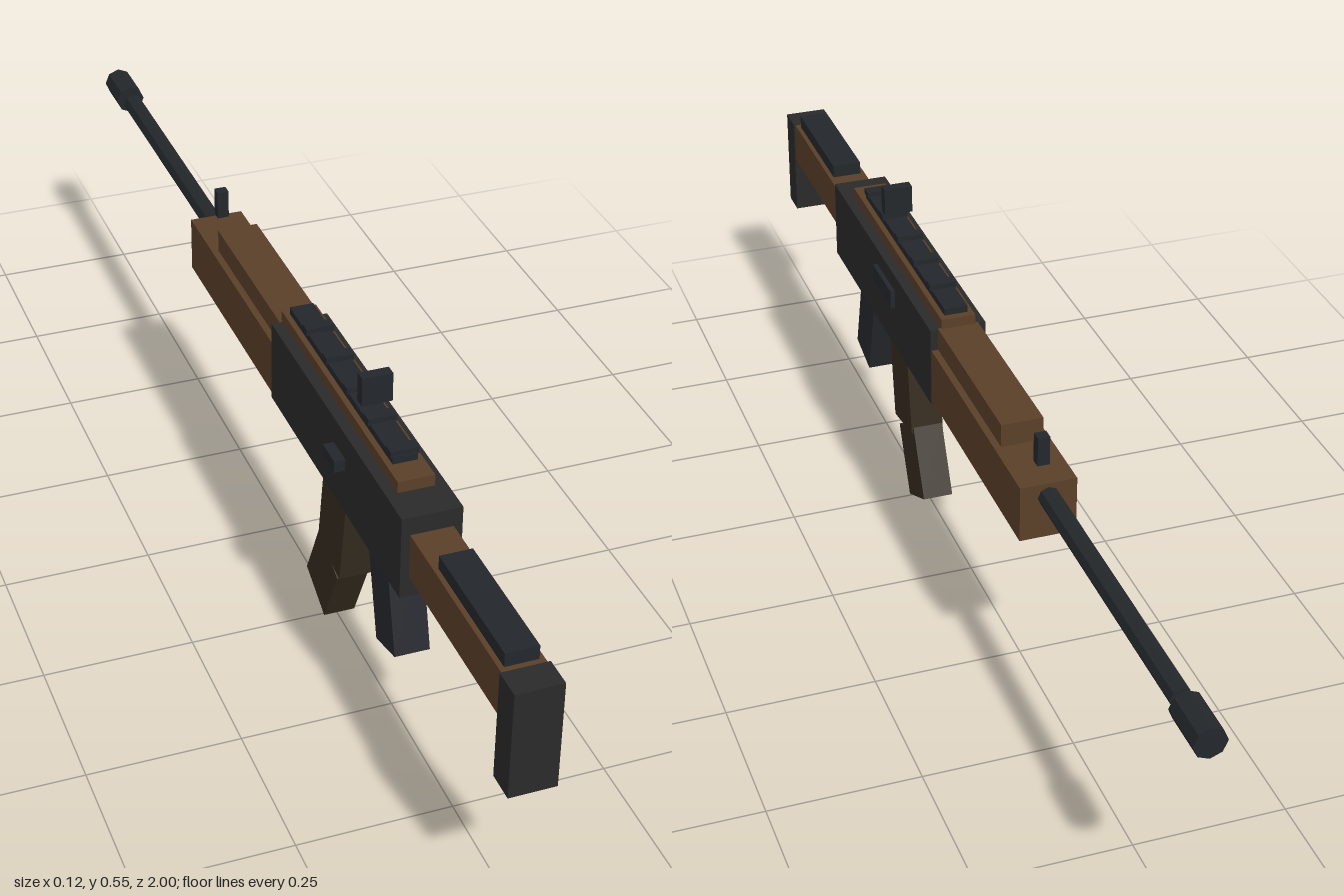
import * as THREE from 'three';

const CX = 0.004; // body axis, offset slightly by the side fittings

const mat = (color) => new THREE.MeshStandardMaterial({ color, flatShading: true });

export function createModel() {
  const model = new THREE.Group();
  const wood = mat(0x5a3f28);
  const steel = mat(0x2a2a2a);
  const blued = mat(0x23272b);
  const gripMat = mat(0x27282d);
  const magMat = mat(0x352c1f);

  const add = (name, geometry, material, x, y, z) => {
    const mesh = new THREE.Mesh(geometry, material);
    mesh.name = name;
    mesh.position.set(x, y, z);
    model.add(mesh);
    return mesh;
  };
  // Box on the body axis, given by width and its y and z ranges
  const block = (name, material, w, y0, y1, z0, z1, x = CX) =>
    add(name, new THREE.BoxGeometry(w, y1 - y0, z1 - z0), material, x, (y0 + y1) / 2, (z0 + z1) / 2);
  // Box tilted about the x axis
  const tilted = (name, material, w, h, d, y, z, degrees) => {
    add(name, new THREE.BoxGeometry(w, h, d), material, CX, y, z).rotation.x = THREE.MathUtils.degToRad(degrees);
  };
  // Eight-sided rod along z
  const rod = (name, material, radius, y, z0, z1) => {
    const geometry = new THREE.CylinderGeometry(radius, radius, z1 - z0, 8).rotateX(Math.PI / 2);
    add(name, geometry, material, CX, y, (z0 + z1) / 2);
  };

  // Receiver and its side fittings
  block('receiver', steel, 0.096, 0.313, 0.455, 0.055, 0.623);
  block('ejectionPort', blued, 0.016, 0.392, 0.425, 0.255, 0.358, 0.052);
  block('chargingHandle', blued, 0.03, 0.39, 0.411, 0.345, 0.395, -0.047);

  // Top cover, rail and rail teeth
  block('topCover', wood, 0.059, 0.45, 0.474, 0.052, 0.56);
  block('rail', blued, 0.04, 0.474, 0.486, 0.065, 0.515);
  for (let i = 0; i < 5; i++) {
    const z = 0.143 + i * 0.09;
    block('railTooth', blued, 0.046, 0.484, 0.495, z - 0.01, z + 0.01);
  }

  // Sights
  block('rearSight', blued, 0.05, 0.505, 0.554, 0.381, 0.4);
  block('frontSight', blued, 0.02, 0.435, 0.485, -0.356, -0.338);

  // Fore-end, barrel and muzzle
  block('handguard', wood, 0.093, 0.32, 0.417, -0.38, 0.056);
  block('upperHandguard', wood, 0.07, 0.41, 0.457, -0.26, 0.056);
  rod('barrel', blued, 0.0175, 0.393, -0.9, -0.37);
  rod('muzzle', blued, 0.026, 0.393, -1, -0.915);

  // Stock
  block('stock', wood, 0.068, 0.348, 0.424, 0.62, 0.952);
  block('cheekRest', blued, 0.052, 0.42, 0.447, 0.71, 0.94);
  block('buttPlate', steel, 0.075, 0.243, 0.426, 0.951, 1);

  // Grip, trigger and two-part curved magazine
  tilted('grip', gripMat, 0.058, 0.165, 0.078, 0.2225, 0.508, -15);
  block('trigger', gripMat, 0.03, 0.267, 0.3, 0.39, 0.49);
  tilted('magazineUpper', magMat, 0.058, 0.163, 0.1, 0.217, 0.291, 8.5);
  tilted('magazineLower', magMat, 0.053, 0.13, 0.094, 0.079, 0.241, 26);

  return model;
}
